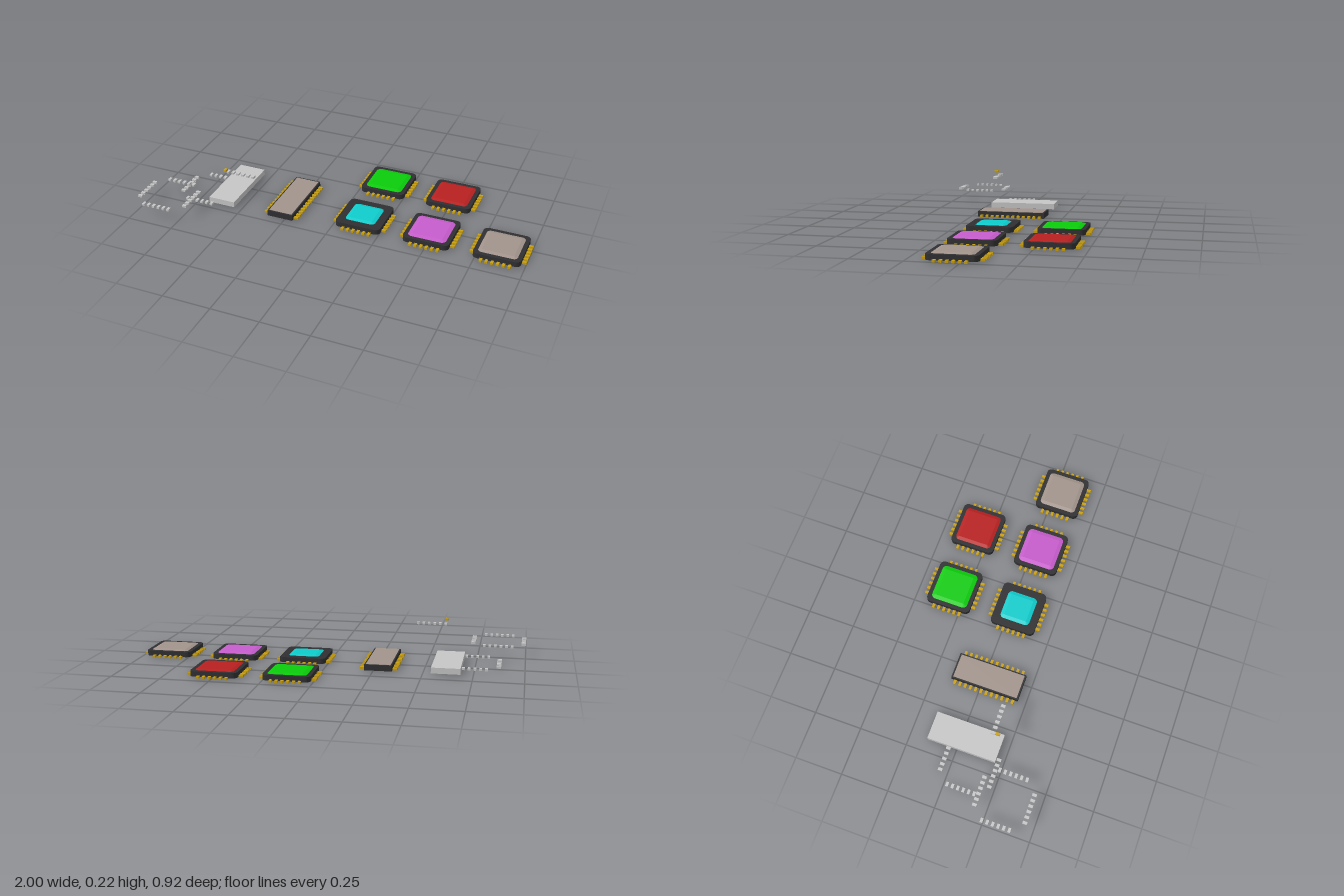
import * as THREE from 'three';

const mat = (name, color) => Object.assign(new THREE.MeshStandardMaterial({ color }), { name });
const M = {
  body: mat('charcoal', 0x303032),
  gold: mat('gold', 0xc9a010),
  silver: mat('silver', 0xc6c6c6),
  taupe: mat('taupe', 0xa2948c),
  green: mat('green', 0x0acc0a),
  red: mat('red', 0xb82020),
  cyan: mat('cyan', 0x0ecccc),
  purple: mat('purple', 0xc65ccc),
};

const PITCH = 0.0287;   // spacing between pins
const REACH = 0.131;    // chip centre to pin centre
const pinGeo = new THREE.BoxGeometry(0.014, 0.011, 0.023);

function add(parent, name, geo, material, x = 0, y = 0, z = 0) {
  const mesh = new THREE.Mesh(geo, material);
  mesh.name = name;
  mesh.position.set(x, y, z);
  parent.add(mesh);
  return mesh;
}

// Flat slab with rounded corners, lying in the xz plane
function roundedSlab(hx, hz, r, options) {
  const s = new THREE.Shape();
  s.moveTo(-hx + r, -hz);
  s.absarc(hx - r, -hz + r, r, -Math.PI / 2, 0);
  s.absarc(hx - r, hz - r, r, 0, Math.PI / 2);
  s.absarc(-hx + r, hz - r, r, Math.PI / 2, Math.PI);
  s.absarc(-hx + r, -hz + r, r, Math.PI, Math.PI * 1.5);
  return new THREE.ExtrudeGeometry(s, { curveSegments: 3, bevelEnabled: false, ...options })
    .rotateX(-Math.PI / 2);
}

// Row of pins centred at a point; alongZ runs the row front to back
function pinRow(parent, name, count, material, x, y, z, alongZ) {
  const row = new THREE.Group();
  row.name = name;
  row.position.set(x, y, z);
  if (alongZ) row.rotation.y = Math.PI / 2;
  for (let i = 0; i < count; i++) add(row, 'pin', pinGeo, material, (i - (count - 1) / 2) * PITCH);
  parent.add(row);
}

// Pins on the chosen sides of a square: [x direction, z direction]
const SIDES = { front: [0, 1], back: [0, -1], left: [1, 0], right: [-1, 0] };
function pinRing(parent, material, x, y, z, sides = Object.keys(SIDES)) {
  for (const side of sides) {
    const [dx, dz] = SIDES[side];
    pinRow(parent, side + 'Pins', 6, material, x + dx * REACH, y, z + dz * REACH, dx !== 0);
  }
}

const squareBody = roundedSlab(0.12, 0.12, 0.025, { depth: 0.027 });

function squareChip(name, material, x, z, dieHalf, slope) {
  const chip = new THREE.Group();
  chip.name = name;
  chip.position.set(x, 0, z);
  add(chip, 'body', squareBody, M.body, 0, 0.004, 0);
  // Sloped coloured cap
  const cap = roundedSlab(dieHalf, dieHalf, 0.003, {
    depth: 0.001, bevelEnabled: true, bevelSegments: 1, bevelSize: slope, bevelThickness: 0.005,
  });
  add(chip, 'cap', cap, material, 0, 0.0305, 0);
  pinRing(chip, M.gold, 0, 0.0057, 0);
  return chip;
}

export function createModel() {
  const model = new THREE.Group();
  model.name = 'chipSet';

  // Square chips
  const chips = [
    ['greenChip', M.green, 0.1325, -0.318, 0.078, 0.021],
    ['redChip', M.red, 0.498, -0.318, 0.081, 0.018],
    ['cyanChip', M.cyan, 0.1325, 0.044, 0.061, 0.019],
    ['purpleChip', M.purple, 0.495, 0.044, 0.078, 0.021],
    ['taupeChip', M.taupe, 0.8575, 0.044, 0.081, 0.018],
  ];
  for (const c of chips) model.add(squareChip(...c));

  // Long chip with pins on two sides
  const long = new THREE.Group();
  long.name = 'longChip';
  long.position.set(-0.276, 0, 0.025);
  add(long, 'body', new THREE.BoxGeometry(0.14, 0.03, 0.364), M.body, 0, 0.019, 0);
  add(long, 'lid', new THREE.BoxGeometry(0.126, 0.003, 0.347), M.taupe, 0, 0.0345, 0);
  for (const s of [-1, 1]) pinRow(long, 'sidePins', 12, M.gold, s * 0.083, 0.011, 0, true);
  model.add(long);

  // Loose blank block
  add(model, 'blankBlock', new THREE.BoxGeometry(0.146, 0.03, 0.364), M.silver, -0.614, 0.02, 0.025);

  // Loose pins
  const loose = new THREE.Group();
  loose.name = 'loosePins';
  pinRing(loose, M.silver, -0.8575, 0.077, 0.319);
  pinRing(loose, M.silver, -0.738, 0.0075, 0.09, ['front', 'back', 'right']);
  pinRow(loose, 'raisedPins', 6, M.silver, -0.513, 0.19, 0.163, false);
  add(loose, 'goldPin', pinGeo, M.gold, -0.588, 0.21, 0.187);
  model.add(loose);

  return model;
}
